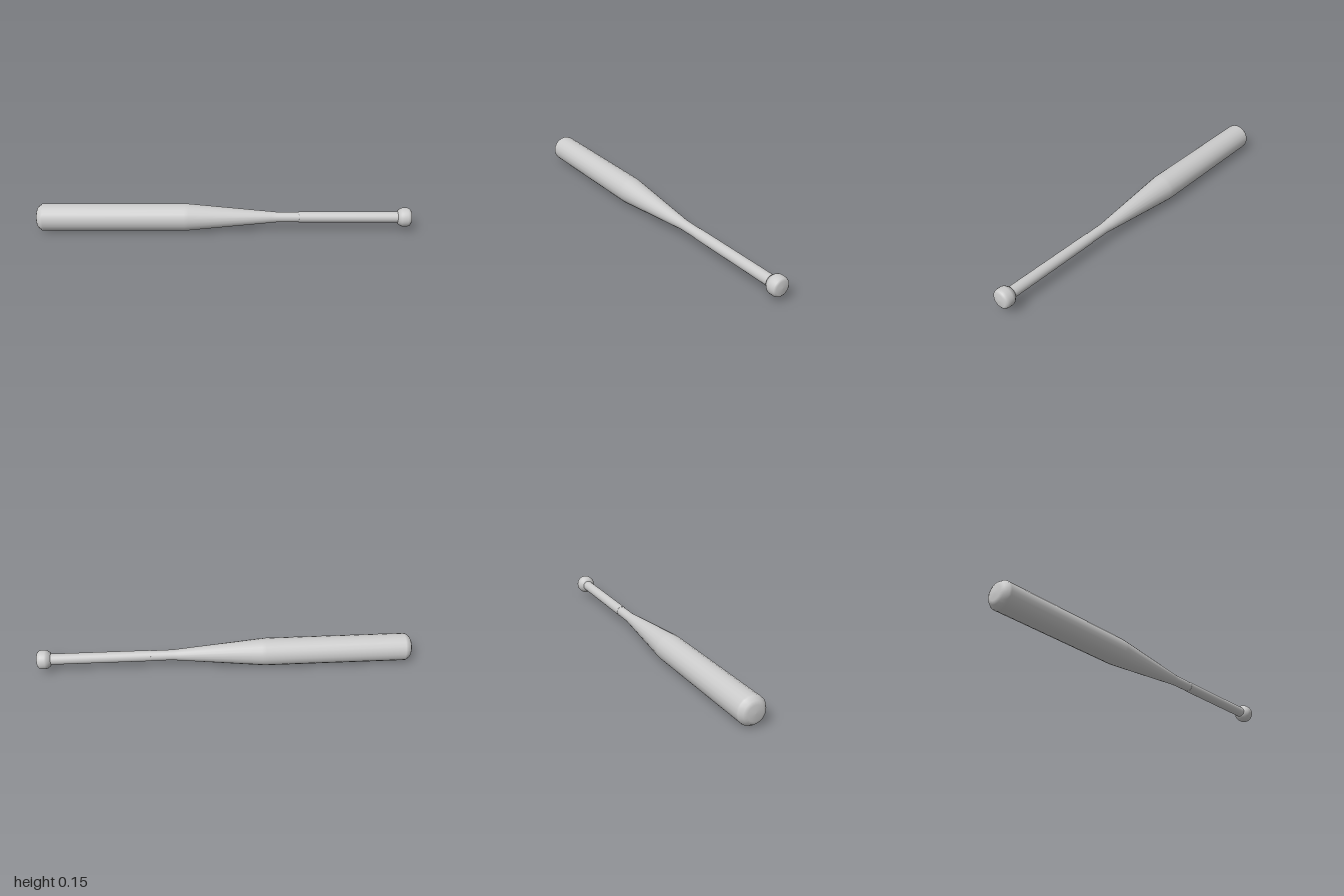
import * as THREE from 'three';

const AXIS_Y = 0.0745;

export function createModel() {
  const bat = new THREE.Group();
  bat.name = 'bat';
  const material = new THREE.MeshStandardMaterial({ color: 0xcccccc });

  // Turns a profile of [x, radius] pairs around the long x axis
  function turned(name, profile, sides) {
    const points = profile.map(([x, r]) => new THREE.Vector2(r, x));
    const geometry = new THREE.LatheGeometry(points, sides);
    geometry.rotateZ(-Math.PI / 2);
    const mesh = new THREE.Mesh(geometry, material);
    mesh.name = name;
    mesh.position.y = AXIS_Y;
    bat.add(mesh);
  }

  // Barrel with a rounded tip, tapering into the handle
  turned('barrel', [
    [-1, 0], [-0.998, 0.04], [-0.99, 0.057], [-0.97, 0.0725], [-0.96, 0.0735],
    [-0.21, 0.0735], [-0.19, 0.072], [0.25, 0.031], [0.28, 0.028], [0.41, 0.027],
  ], 20);

  // Grip sleeve, a touch wider than the bare handle
  turned('grip', [
    [0.4, 0.026], [0.4, 0.029], [0.94, 0.029],
  ], 20);

  // Rounded knob at the end of the handle
  turned('knob', [
    [0.927, 0.028], [0.93, 0.037], [0.945, 0.048], [0.955, 0.0505],
    [0.978, 0.0505], [0.991, 0.046], [0.998, 0.036], [1, 0],
  ], 32);

  return bat;
}
